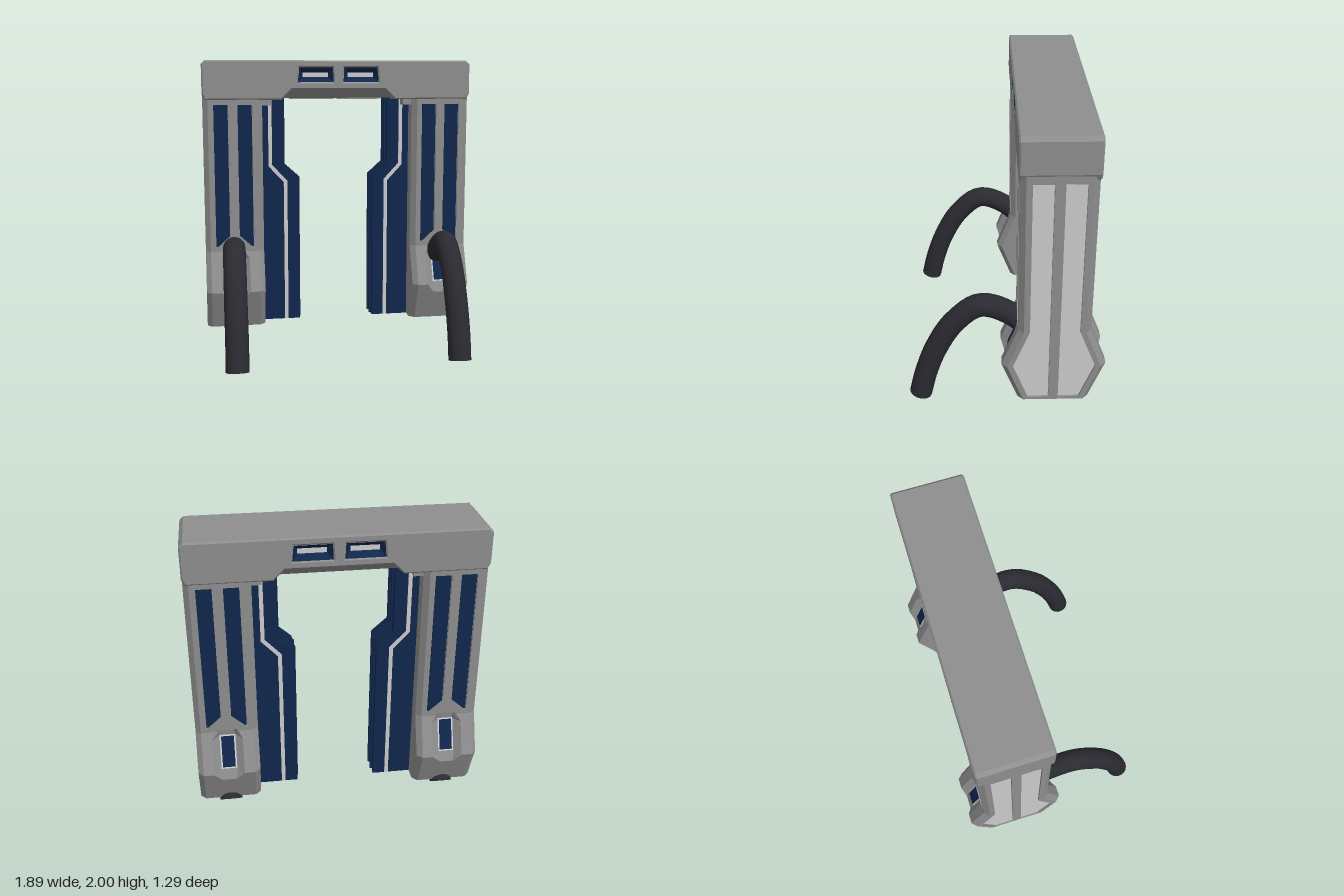
import * as THREE from 'three';

const mat = (color, extra = {}) => new THREE.MeshStandardMaterial({ color, flatShading: true, ...extra });
const GREY = mat(0x8e8e8e);
const LIGHT = mat(0xcccccc);
const BLUE = mat(0x10264c);
const BLUE_THIN = mat(0x10264c, { side: THREE.DoubleSide });
const RUBBER = mat(0x2a2a31, { flatShading: false });

const MID_Z = -0.305;   // depth centre of the frame
const LEG_X = 0.737;    // leg centre
const HALF_W = 0.205;   // leg half width
const SHAFT = 0.23;     // leg half depth along the shaft
const BULGE = 0.335;    // leg half depth at the widest point
const GROOVE = 0.014;

function add(parent, name, geometry, material, x = 0, y = 0, z = 0) {
  const mesh = new THREE.Mesh(geometry, material);
  mesh.name = name;
  mesh.position.set(x, y, z);
  parent.add(mesh);
  return mesh;
}

const polygon = pts => new THREE.Shape(pts.map(p => new THREE.Vector2(p[0], p[1])));
const plate = (pts, depth) => new THREE.ExtrudeGeometry(polygon(pts), { depth, bevelEnabled: false });

// Joins rings of equal length into a skin, with optional end caps
function loft(rings, caps) {
  const v = [];
  const n = rings[0].length;
  const tri = (a, b, c) => v.push(...a, ...b, ...c);
  for (let r = 0; r < rings.length - 1; r++) {
    for (let i = 0; i < n; i++) {
      const j = (i + 1) % n;
      const a = rings[r], b = rings[r + 1];
      tri(a[i], a[j], b[j]);
      tri(a[i], b[j], b[i]);
    }
  }
  if (caps) {
    const lo = rings[0], hi = rings[rings.length - 1];
    for (let i = 0; i < n; i++) {
      const j = (i + 1) % n;
      tri([0, lo[0][1], 0], lo[j], lo[i]);
      tri([0, hi[0][1], 0], hi[i], hi[j]);
    }
  }
  const g = new THREE.BufferGeometry();
  g.setAttribute('position', new THREE.Float32BufferAttribute(v, 3));
  g.computeVertexNormals();
  return g;
}

// Half depth of the leg at a height
function legDepth(y) {
  if (y >= 0.67) return SHAFT;
  const t = y > 0.4 ? (0.67 - y) / 0.27 : (y - 0.13) / 0.27;
  return SHAFT + (BULGE - SHAFT) * t;
}

// One leg cross-section: o, i = recess edges, f, e = recess depths, gs = outer side groove
function legRing([y, o, i, f, e, gs]) {
  const d = legDepth(y);
  const quarter = g => [
    [0.03, d - e], [0.03, d - f], [i, d - f], [o, d],
    [HALF_W - 0.035, d], [HALF_W, d - 0.035], [HALF_W, d - 0.07],
    [HALF_W - g, d - 0.07], [HALF_W - g, 0.03], [HALF_W, 0.03],
  ];
  const outer = quarter(gs), inner = quarter(0);
  const put = (q, sx, sz) => q.map(([x, z]) => [x * sx, y, z * sz]);
  return [
    ...put(outer, 1, 1), ...put(outer, 1, -1).reverse(),
    ...put(inner, -1, -1), ...put(inner, -1, 1).reverse(),
  ];
}

function makeLeg() {
  const leg = new THREE.Group();
  leg.name = 'leg';
  leg.position.x = LEG_X;
  const G = GROOVE, P = 0.045;
  add(leg, 'legBody', loft([
    [0.13, 0.05, 0.04, 0, 0, 0], [0.15, 0.05, 0.04, 0, 0, 0], [0.15, 0.05, 0.04, 0, 0, G],
    [0.34, 0.05, 0.04, 0, 0, G], [0.40, 0.10, 0.055, P, P, G], [0.62, 0.10, 0.055, P, P, G],
    [0.67, 0.07, 0.045, P * 0.4, P * 0.4, G], [0.70, 0.05, 0.04, 0, 0, G],
    [0.70, 0.135, 0.135, 0, 0, G], [0.70, 0.135, 0.135, G, 0, G],
    [1.70, 0.135, 0.135, G, 0, G], [1.70, 0.135, 0.135, 0, 0, G],
    [1.71, 0.135, 0.135, 0, 0, G], [1.71, 0.135, 0.135, 0, 0, 0], [1.76, 0.135, 0.135, 0, 0, 0],
  ].map(legRing), true), GREY);

  // Front and back share the same inlays
  for (const turn of [0, Math.PI]) {
    const face = new THREE.Group();
    face.name = turn ? 'legBack' : 'legFront';
    face.rotation.y = turn;
    leg.add(face);
    for (const s of [-1, 1]) {
      add(face, 'legInlay', new THREE.BoxGeometry(0.097, 0.99, 0.006), BLUE, s * 0.0825, 1.2, SHAFT - G + 0.003);
    }
    add(face, 'gable', plate([[-0.14, 0.685], [0.14, 0.685], [0.03, 0.785], [-0.03, 0.785]], G + 0.004),
      GREY, 0, 0, SHAFT - G);
    // Sloping slot in the bulge
    const slot = new THREE.Group();
    slot.name = 'slot';
    slot.position.set(0, 0.52, legDepth(0.52) - P);
    slot.rotation.x = -Math.atan2(BULGE - SHAFT, 0.27);
    face.add(slot);
    add(slot, 'slotFrame', new THREE.BoxGeometry(0.104, 0.23, 0.012), LIGHT);
    add(slot, 'slotInlay', new THREE.BoxGeometry(0.084, 0.21, 0.018), BLUE);
  }

  // Pale panels in the outer side
  for (const s of [-1, 1]) {
    const edge = [0.155, 0.4, 0.67, 1.705].map(y => [s * (legDepth(y) - 0.073), y]);
    const g = plate([[s * 0.033, 0.155], ...edge, [s * 0.033, 1.705]], 0.006).rotateY(Math.PI / 2);
    add(leg, 'sidePanel', g, LIGHT, HALF_W - G);
  }
  return leg;
}

// Stepped blue guard on the inside of a leg
function makeGuard() {
  const guard = new THREE.Group();
  guard.name = 'innerGuard';
  const layers = [[-0.105, -0.07, 0.01], [-0.07, 0.07, 0.03], [-0.05, -0.03, 0], [0.03, 0.05, 0], [0.07, 0.105, 0.01]];
  for (const [z0, z1, k] of layers) {
    add(guard, 'guardLayer', plate([
      [0.54, 0.13], [0.26 + k, 0.13], [0.26 + k, 1.17], [0.365 + k, 1.265], [0.365 + k, 1.74], [0.54, 1.74],
    ], z1 - z0), BLUE, 0, 0, z0);
  }
  const stripe = [
    [0.46, 1.74], [0.46, 1.265], [0.353, 1.15], [0.353, 0.13],
    [0.379, 0.13], [0.379, 1.14], [0.486, 1.255], [0.486, 1.74],
  ];
  for (const z of [-0.109, 0.101]) add(guard, 'guardStripe', plate(stripe, 0.008), LIGHT, 0, 0, z);
  add(guard, 'bracket', new THREE.BoxGeometry(0.1, 0.045, 0.38), GREY, 0.52, 1.712, 0);
  return guard;
}

function makeBeam() {
  const beam = new THREE.Group();
  beam.name = 'beam';
  const right = [[0.33, 1.80], [0.40, 1.73], [0.925, 1.73], [0.945, 1.77], [0.945, 1.975], [0.92, 2.0]];
  const shape = polygon([...right, ...right.map(([x, y]) => [-x, y]).reverse()]);
  const bevel = 0.01, half = 0.238;
  const windows = [-1, 1].map(s => [[0.285, 1.85], [0.275, 1.95], [0.04, 1.95], [0.035, 1.85]].map(([x, y]) => [s * x, y]));
  windows.forEach(w => shape.holes.push(new THREE.Path(w.map(p => new THREE.Vector2(p[0], p[1])))));
  add(beam, 'beamBody', new THREE.ExtrudeGeometry(shape, {
    depth: 2 * (half - bevel), bevelThickness: bevel, bevelSize: bevel, bevelOffset: -bevel, bevelSegments: 1,
  }), GREY, 0, 0, bevel - half);

  // Recessed windows, front and back
  for (const s of [-1, 1]) {
    for (const w of windows) {
      const side = Math.sign(w[0][0]);
      const outer = w.map(([x, y]) => [x, y, s * (half - 0.004)]);
      const inner = [[0.25, 1.885], [0.25, 1.918], [0.07, 1.918], [0.07, 1.885]]
        .map(([x, y]) => [side * x, y, s * (half - 0.04)]);
      add(beam, 'windowFrame', loft([outer, inner], false), BLUE_THIN);
      add(beam, 'windowPane', new THREE.BoxGeometry(0.2, 0.05, 0.01), LIGHT, side * 0.16, 1.9, s * (half - 0.046));
    }
  }

  // Tapered underside between the legs
  const under = plate([[-0.232, 1.805], [-0.16, 1.74], [0.16, 1.74], [0.232, 1.805]], 0.8)
    .rotateY(Math.PI / 2);
  add(beam, 'underside', under, GREY, -0.4);
  for (const s of [-1, 1]) {
    add(beam, 'undersidePanel', new THREE.BoxGeometry(0.3, 0.012, 0.26), GREY, s * 0.17, 1.737, 0);
  }
  return beam;
}

// Bent hose that runs down through a leg and out underneath
function makeHose(s) {
  const hose = new THREE.Group();
  hose.name = s > 0 ? 'leftHose' : 'rightHose';
  const path = new THREE.CatmullRomCurve3([
    [-0.022, 0.018, 0.575], [-0.02, 0.2, 0.53], [-0.02, 0.4, 0.455], [-0.018, 0.6, 0.335], [-0.014, 0.735, 0.165],
    [-0.008, 0.68, -0.02], [0, 0.48, -0.23], [0, 0.28, -0.385], [0, 0.1, -0.52],
  ].map(([x, y, z]) => new THREE.Vector3(s * 0.738 + x, y, z)));
  const radius = 0.076;
  add(hose, 'hoseTube', new THREE.TubeGeometry(path, 48, radius, 20), RUBBER);
  for (const t of [0, 1]) {
    const cap = add(hose, 'hoseEnd', new THREE.CircleGeometry(radius, 20), RUBBER);
    const out = path.getTangentAt(t).multiplyScalar(t ? 1 : -1);
    cap.position.copy(path.getPointAt(t));
    cap.quaternion.setFromUnitVectors(new THREE.Vector3(0, 0, 1), out);
  }
  return hose;
}

export function createModel() {
  const model = new THREE.Group();
  model.name = 'archway';
  const frame = new THREE.Group();
  frame.name = 'frame';
  frame.position.z = MID_Z;
  model.add(frame);
  frame.add(makeBeam());
  for (const s of [1, -1]) {
    const side = new THREE.Group();
    side.name = s > 0 ? 'leftSide' : 'rightSide';
    side.scale.x = s;
    side.add(makeLeg(), makeGuard());
    frame.add(side);
    model.add(makeHose(s));
  }
  return model;
}
